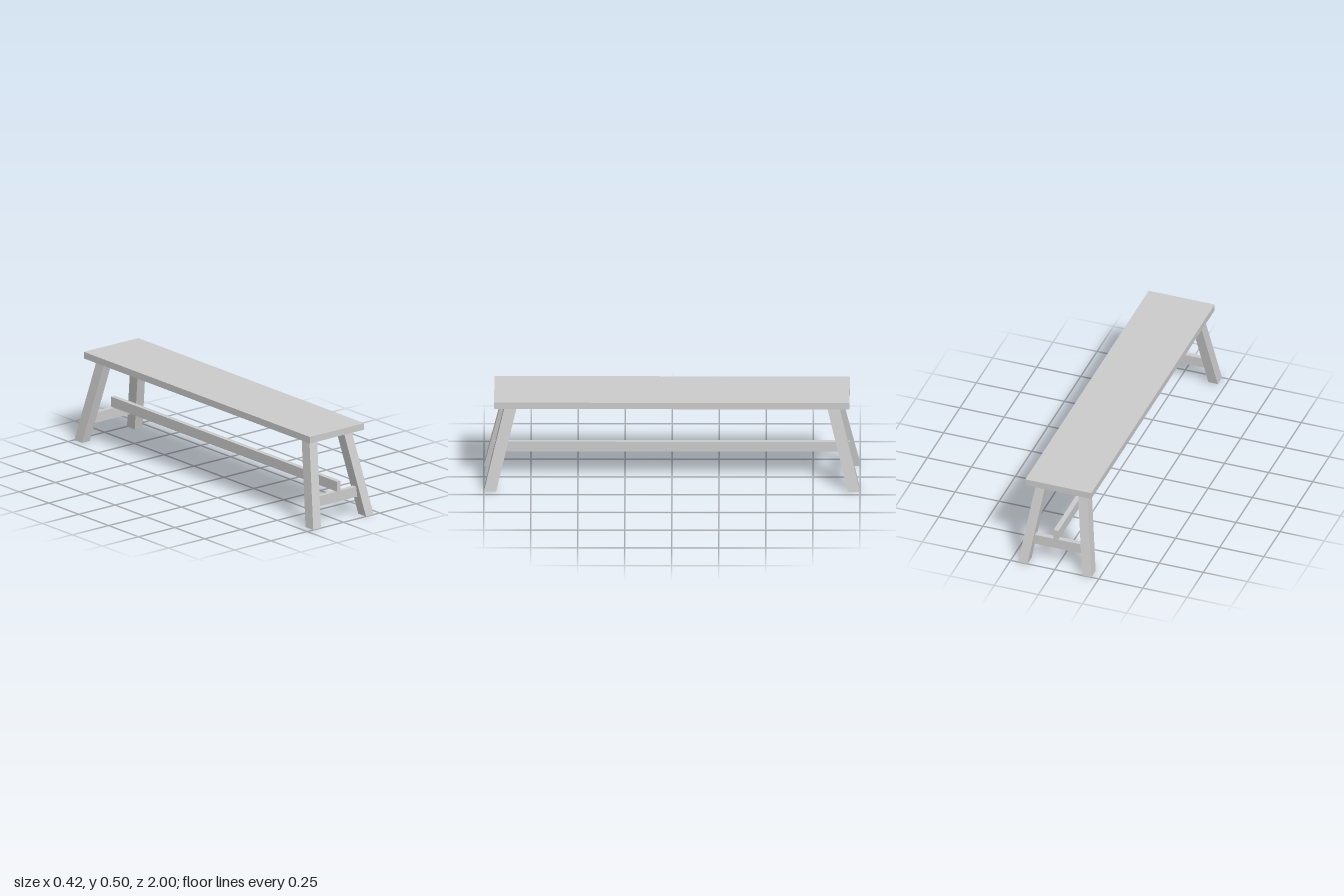
import * as THREE from 'three';

const material = new THREE.MeshStandardMaterial({ color: 0xcccccc, flatShading: true });

// Box given by its min and max corner
function board(name, min, max) {
  const size = max.map((v, i) => v - min[i]);
  const mesh = new THREE.Mesh(new THREE.BoxGeometry(...size), material);
  mesh.position.set(...max.map((v, i) => (v + min[i]) / 2));
  mesh.name = name;
  return mesh;
}

// Splayed leg: a box sheared so that top and foot stay horizontal
function leg(name, sx, sz) {
  const height = 0.465;
  const geometry = new THREE.BoxGeometry(0.053, height, 0.065);
  geometry.translate(0, height / 2, 0);
  const p = geometry.attributes.position;
  for (let i = 0; i < p.count; i++) {
    const t = p.getY(i) / height;
    p.setX(i, p.getX(i) + sx * THREE.MathUtils.lerp(0.1815, 0.117, t));
    p.setZ(i, p.getZ(i) + sz * THREE.MathUtils.lerp(0.9675, 0.856, t));
  }
  geometry.computeVertexNormals();
  const mesh = new THREE.Mesh(geometry, material);
  mesh.name = name;
  return mesh;
}

export function createModel() {
  const bench = new THREE.Group();
  bench.name = 'bench';

  bench.add(board('seat', [-0.187, 0.465, -0.945], [0.187, 0.502, 0.945]));

  // Long rail resting on the crossbars, set off to one side of the middle
  bench.add(board('longRail', [0, 0.157, -0.944], [0.027, 0.213, 0.944]));

  // A pair of legs and a crossbar at each end
  for (const [end, sz] of [['front', 1], ['back', -1]]) {
    bench.add(leg(end + 'LeftLeg', 1, sz), leg(end + 'RightLeg', -1, sz));
    const crossbar = board(end + 'Crossbar', [-0.145, 0.1, -0.0135], [0.145, 0.157, 0.0135]);
    crossbar.position.z = sz * 0.9305;
    bench.add(crossbar);
  }
  return bench;
}
